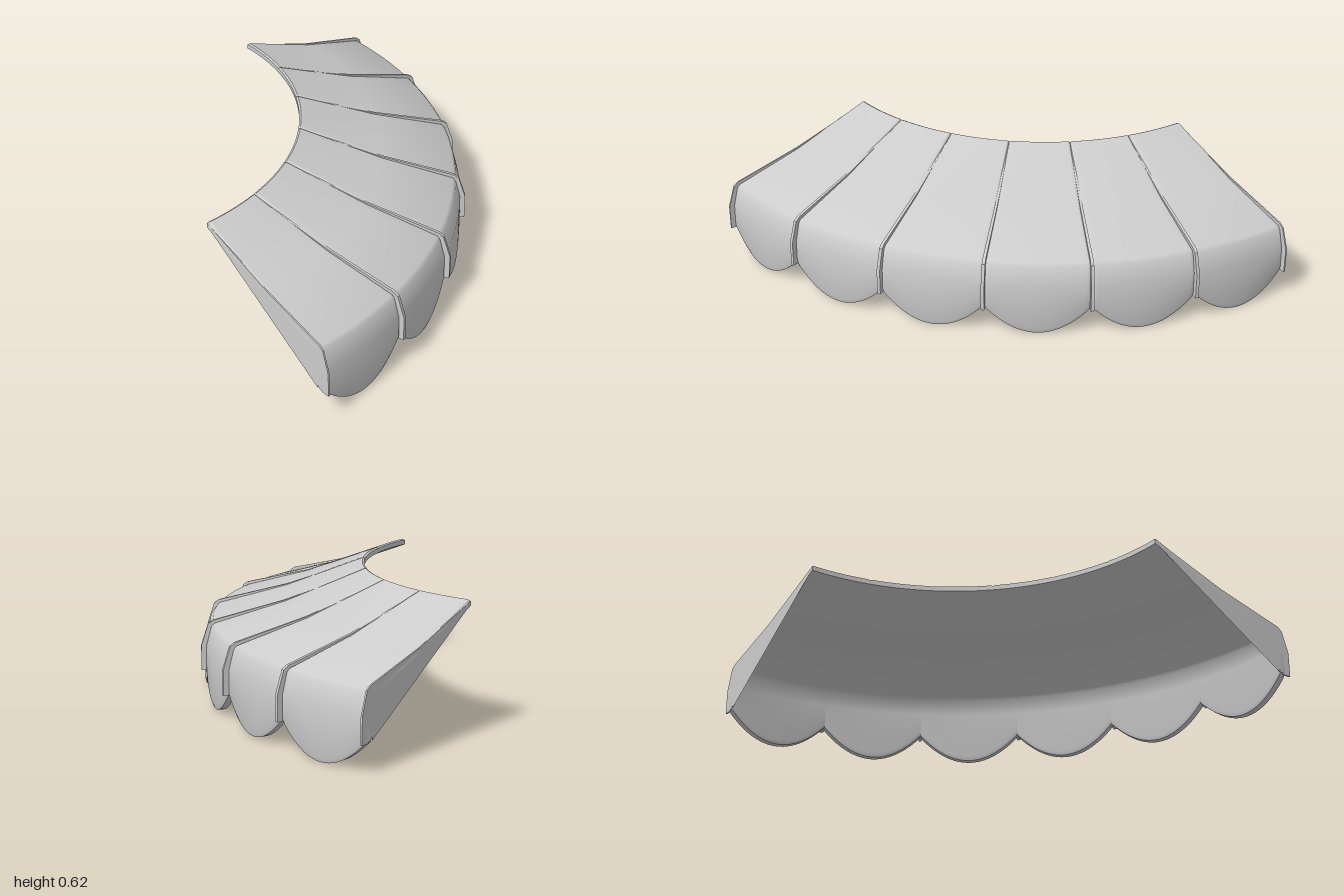
import * as THREE from 'three';
import { toCreasedNormals } from 'three/addons/utils/BufferGeometryUtils.js';

const PANELS = 6;
const STEP = Math.PI / 2 / PANELS;

// Radius / height sections, from the inner rim over the roof and down the valance
const panelOuter = [[1.17, 0.625], [1.18, 0.63], [1.58, 0.475], [1.935, 0.372], [1.95, 0.355], [1.975, 0.26], [1.977, 0.02], [1.97, 0]];
const panelInner = [[1.17, 0.6], [1.18, 0.595], [1.57, 0.445], [1.9, 0.345], [1.91, 0.335], [1.93, 0.26], [1.93, 0.02], [1.937, 0]];
const seamOuter = [[1.17, 0.622], [1.58, 0.48], [1.94, 0.386], [1.965, 0.368], [2.0, 0.26], [2.0, 0.135]];
const seamInner = [[1.17, 0.6], [1.58, 0.45], [1.92, 0.35], [1.94, 0.34], [1.955, 0.26], [1.955, 0.135]];

// Quarter ring is centred on the back left corner of the footprint
const place = (r, y, a) => [-1 + r * Math.cos(a), y, -1 + r * Math.sin(a)];

// Sweep a closed section around the ring; shape(r, y, u, isOuter) adjusts each point, u from -1 to 1
function sweep(outer, inner, a0, a1, us, shape = (r, y) => [r, y]) {
  const n = outer.length;
  const rings = us.map((u) => {
    const a = a0 + (a1 - a0) * (u + 1) / 2;
    const at = (isOuter) => ([r, y]) => place(...shape(r, y, u, isOuter), a);
    return [...outer.map(at(true)), ...inner.map(at(false)).reverse()];
  });
  const pos = [];
  const quad = (a, b, c, d) => pos.push(...a, ...b, ...c, ...a, ...c, ...d);
  for (let i = 0; i < rings.length - 1; i++) {
    for (let j = 0; j < 2 * n; j++) {
      const k = (j + 1) % (2 * n);
      quad(rings[i][j], rings[i + 1][j], rings[i + 1][k], rings[i][k]);
    }
  }
  // Close both sides
  const s = rings[0], e = rings[rings.length - 1];
  for (let j = 0; j < n - 1; j++) {
    const p = 2 * n - 1 - j;
    quad(s[j], s[j + 1], s[p - 1], s[p]);
    quad(e[p], e[p - 1], e[j + 1], e[j]);
  }
  const g = new THREE.BufferGeometry();
  g.setAttribute('position', new THREE.Float32BufferAttribute(pos, 3));
  return toCreasedNormals(g, 0.6);
}

// Scalloped hem, with the long edges of each panel rounded off
function panelShape(r, y, u, isOuter) {
  const edge = Math.max(0, (Math.abs(u) - 0.94) / 0.06);
  const drop = isOuter ? 0.012 * edge * edge : 0;
  const hem = 0.005 + 0.137 * u * u;
  if (y < 0.1) return [r - drop, y + hem];
  return r > 1.94 ? [r - drop, y] : [r, y - drop];
}

export function createModel() {
  const model = new THREE.Group();
  model.name = 'curvedAwning';
  const cloth = new THREE.MeshStandardMaterial({ color: 0xcccccc });
  cloth.name = 'light grey cloth';
  const add = (geometry, name) => {
    const mesh = new THREE.Mesh(geometry, cloth);
    mesh.name = name;
    model.add(mesh);
  };

  // Panels
  const us = [-1, -0.985, -0.965, -0.94];
  for (let i = -9; i <= 9; i++) us.push(i / 10);
  us.push(0.94, 0.965, 0.985, 1);
  for (let i = 0; i < PANELS; i++) {
    add(sweep(panelOuter, panelInner, i * STEP, (i + 1) * STEP, us, panelShape), `panel${i + 1}`);
  }

  // Raised seams between panels and along both ends
  const half = 0.004;
  for (let i = 0; i <= PANELS; i++) {
    const a0 = Math.max(0, i * STEP - half);
    const a1 = Math.min(Math.PI / 2, i * STEP + half);
    add(sweep(seamOuter, seamInner, a0, a1, [-1, 1]), `seam${i + 1}`);
  }

  // Triangular end gussets, facing outwards
  const corners = [[1.18, 0.6], [1.93, 0.355], [1.93, 0.14]];
  [0, Math.PI / 2].forEach((a, i) => {
    const points = corners.map(([r, y]) => place(r, y, a));
    if (i) points.reverse();
    const g = new THREE.BufferGeometry();
    g.setAttribute('position', new THREE.Float32BufferAttribute(points.flat(), 3));
    g.computeVertexNormals();
    add(g, i ? 'leftGusset' : 'backGusset');
  });
  return model;
}
